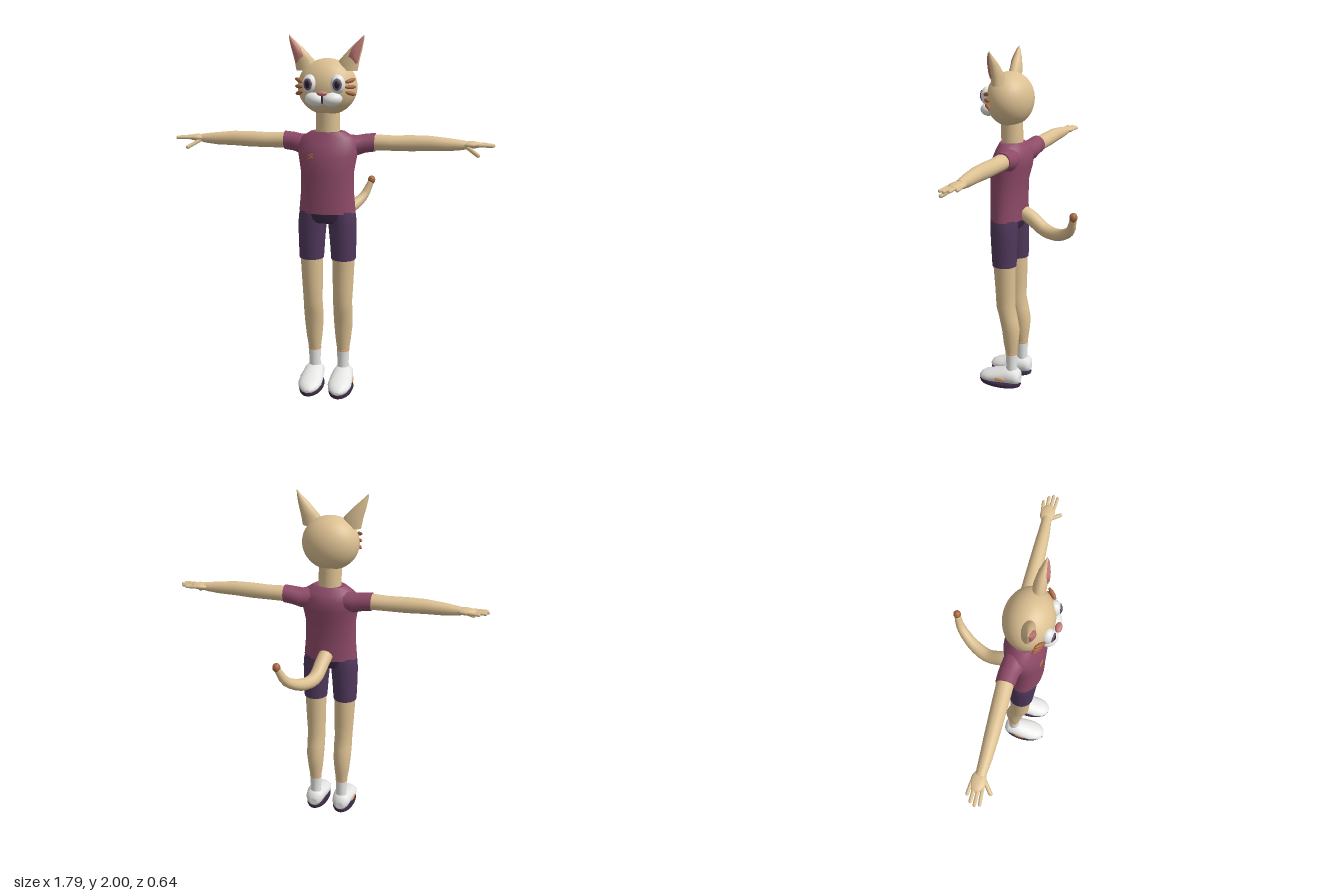
import * as THREE from 'three';

const mat = (name, color) => Object.assign(new THREE.MeshStandardMaterial({ color }), { name });
const M = {
  fur: mat('tan fur', 0xdcc092),
  shirt: mat('plum shirt', 0x8e4a68),
  shorts: mat('purple shorts', 0x50385c),
  dark: mat('dark purple trim', 0x3a2a45),
  white: mat('white', 0xe6e6e4),
  pink: mat('pink skin', 0xc27a76),
  brown: mat('brown markings', 0xa8663f),
  orange: mat('orange trim', 0xe0a670),
  iris: mat('mauve iris', 0x67566c),
  pupil: mat('black pupil', 0x231c26),
};

// Skins elliptical rings [t, cu, cv, ru, rv] along an axis.
// (u, v) is (x, z) for axis y, (z, y) for axis x, (y, x) for axis z.
function loft(axis, rings, n = 24) {
  const pos = [], idx = [];
  const put = (t, u, v) => pos.push(...(axis === 'y' ? [u, t, v] : axis === 'x' ? [t, v, u] : [v, u, t]));
  const ring = ([t, cu, cv, ru, rv]) => {
    const start = pos.length / 3;
    for (let j = 0; j < n; j++) {
      const a = (j / n) * Math.PI * 2;
      put(t, cu + ru * Math.cos(a), cv + rv * Math.sin(a));
    }
    return start;
  };
  const starts = rings.map(ring);
  for (let i = 0; i + 1 < starts.length; i++) {
    for (let j = 0; j < n; j++) {
      const k = (j + 1) % n, a = starts[i], b = starts[i + 1];
      idx.push(a + j, b + j, a + k, a + k, b + j, b + k);
    }
  }
  // separate end caps keep the rims sharp
  [rings[0], rings[rings.length - 1]].forEach((r, end) => {
    const s = ring(r), c = pos.length / 3;
    put(r[0], r[1], r[2]);
    for (let j = 0; j < n; j++) {
      const k = (j + 1) % n;
      idx.push(c, s + (end ? k : j), s + (end ? j : k));
    }
  });
  const g = new THREE.BufferGeometry();
  g.setAttribute('position', new THREE.Float32BufferAttribute(pos, 3));
  g.setIndex(idx);
  g.computeVertexNormals();
  return g;
}

// Ellipsoid with radii r at p, turned by rotation e
function ball(r, p, e = [0, 0, 0], seg = 24) {
  const m = new THREE.Matrix4().compose(new THREE.Vector3(...p),
    new THREE.Quaternion().setFromEuler(new THREE.Euler(...e)), new THREE.Vector3(...r));
  return new THREE.SphereGeometry(1, seg, Math.round(seg * 0.7)).applyMatrix4(m);
}

// Rounded rod from a to b
function rod(a, b, r) {
  const A = new THREE.Vector3(...a), B = new THREE.Vector3(...b), d = B.clone().sub(A);
  const q = new THREE.Quaternion().setFromUnitVectors(new THREE.Vector3(0, 1, 0), d.clone().normalize());
  return new THREE.CapsuleGeometry(r, d.length() - r, 4, 10).applyQuaternion(q)
    .translate(...A.add(B).multiplyScalar(0.5).toArray());
}

function mirrored(geo) {
  const g = geo.clone().applyMatrix4(new THREE.Matrix4().makeScale(-1, 1, 1));
  const ix = g.index;
  for (let i = 0; i < ix.count; i += 3) {
    const b = ix.getX(i + 1);
    ix.setX(i + 1, ix.getX(i + 2));
    ix.setX(i + 2, b);
  }
  return g;
}

export function createModel() {
  const root = new THREE.Group();
  root.name = 'catCharacter';
  const add = (name, geo, m) => {
    const mesh = new THREE.Mesh(geo, m);
    mesh.name = name;
    root.add(mesh);
  };
  const pair = (name, geo, m) => {
    add(name + 'Left', geo, m);
    add(name + 'Right', mirrored(geo), m);
  };

  // Head and neck
  add('head', ball([0.161, 0.15, 0.13], [0, 1.73, 0.14], [0, 0, 0], 36), M.fur);
  add('neck', loft('y', [[1.44, 0, 0.13, 0.068, 0.064], [1.5, 0, 0.13, 0.065, 0.062],
    [1.62, 0, 0.133, 0.064, 0.062]]), M.fur);

  // Ears
  pair('ear', loft('y', [[1.815, 0.112, 0.16, 0.053, 0.034], [1.87, 0.121, 0.16, 0.054, 0.034],
    [1.93, 0.157, 0.164, 0.034, 0.025], [1.975, 0.186, 0.169, 0.014, 0.011],
    [2, 0.2, 0.17, 0.002, 0.002]]), M.fur);
  pair('innerEar', loft('y', [[1.855, 0.16, 0.166, 0.008, 0.02], [1.89, 0.144, 0.17, 0.032, 0.031],
    [1.93, 0.16, 0.173, 0.027, 0.025], [1.975, 0.187, 0.175, 0.011, 0.011],
    [1.992, 0.196, 0.173, 0.003, 0.005]]), M.pink);

  // Face
  pair('eye', ball([0.04, 0.05, 0.036], [0.074, 1.75, 0.245], [0, 0.3, 0]), M.white);
  pair('iris', ball([0.024, 0.031, 0.008], [0.078, 1.75, 0.276], [0, 0.2, 0]), M.iris);
  pair('pupil', ball([0.014, 0.02, 0.006], [0.078, 1.75, 0.281], [0, 0.2, 0]), M.pupil);
  pair('muzzle', ball([0.055, 0.037, 0.045], [0.046, 1.672, 0.252], [0, 0.3, 0.08]), M.white);
  add('nose', ball([0.028, 0.013, 0.018], [0, 1.705, 0.288]), M.pink);
  add('mouth', ball([0.006, 0.025, 0.008], [0, 1.675, 0.283]), M.dark);
  for (let i = 0; i < 3; i++) {
    pair('cheekStripe' + (i + 1), ball([0.034, 0.011, 0.011],
      [0.138, 1.768 - i * 0.033, 0.222 - i * 0.004], [0, 0.75, 0.25 - i * 0.25], 14), M.brown);
  }

  // Shirt
  add('shirtBody', loft('y', [[1.05, 0, 0.15, 0.158, 0.1], [1.15, 0, 0.15, 0.149, 0.099],
    [1.27, 0, 0.148, 0.147, 0.102], [1.36, 0, 0.136, 0.162, 0.114], [1.42, 0, 0.123, 0.166, 0.102],
    [1.46, 0, 0.124, 0.145, 0.085], [1.492, 0, 0.131, 0.094, 0.064]], 32), M.shirt);
  pair('sleeve', loft('x', [[0.08, 0.105, 1.42, 0.06, 0.055], [0.155, 0.095, 1.412, 0.06, 0.056],
    [0.2, 0.086, 1.424, 0.054, 0.052], [0.253, 0.084, 1.43, 0.051, 0.051]]), M.shirt);
  [[0.35, -0.075, 1.372], [0.6, -0.08, 1.355], [-0.7, -0.068, 1.362]].forEach(([tilt, x, y], i) =>
    add('chestStitch' + (i + 1), ball([0.022, 0.005, 0.006], [x, y, 0.235], [0, -0.2, tilt], 10), M.brown));

  // Arms and hands
  pair('arm', loft('x', [[0.22, 0.084, 1.43, 0.046, 0.045], [0.35, 0.084, 1.428, 0.044, 0.042],
    [0.45, 0.084, 1.43, 0.041, 0.044], [0.55, 0.084, 1.432, 0.038, 0.041],
    [0.65, 0.083, 1.428, 0.033, 0.035], [0.72, 0.08, 1.427, 0.028, 0.027],
    [0.745, 0.078, 1.428, 0.028, 0.022]], 20), M.fur);
  pair('palm', ball([0.058, 0.019, 0.04], [0.77, 1.43, 0.076]), M.fur);
  [0.845, 0.878, 0.89, 0.882].forEach((tip, i) => {
    const z = 0.044 + i * 0.02;
    pair('finger' + (i + 1), rod([0.78, 1.431, z], [tip, 1.429, z + (i - 1.5) * 0.004], 0.009), M.fur);
  });
  pair('thumb', rod([0.745, 1.42, 0.095], [0.81, 1.38, 0.148], 0.011), M.fur);

  // Shorts
  add('shortsWaist', loft('y', [[0.995, 0, 0.152, 0.1, 0.075], [1.015, 0, 0.152, 0.132, 0.088],
    [1.06, 0, 0.152, 0.145, 0.094]], 32), M.dark);
  pair('shortsLeg', loft('y', [[0.78, 0.091, 0.147, 0.069, 0.071], [0.88, 0.089, 0.148, 0.074, 0.075],
    [0.98, 0.085, 0.149, 0.079, 0.079], [1.03, 0.08, 0.15, 0.08, 0.08],
    [1.058, 0.077, 0.15, 0.076, 0.08]]), M.shorts);

  // Legs, socks and shoes
  pair('leg', loft('y', [[0.21, 0.084, 0.112, 0.034, 0.033], [0.29, 0.085, 0.113, 0.045, 0.045],
    [0.37, 0.086, 0.113, 0.053, 0.053], [0.45, 0.086, 0.128, 0.055, 0.054],
    [0.52, 0.086, 0.144, 0.054, 0.056], [0.62, 0.088, 0.144, 0.058, 0.059],
    [0.8, 0.091, 0.147, 0.064, 0.066]]), M.fur);
  pair('sock', loft('y', [[0.06, 0.084, 0.112, 0.036, 0.036], [0.14, 0.084, 0.112, 0.033, 0.032],
    [0.212, 0.084, 0.112, 0.036, 0.035]]), M.white);
  pair('sockStripe', loft('y', [[0.212, 0.084, 0.112, 0.037, 0.036],
    [0.22, 0.084, 0.112, 0.037, 0.036]]), M.orange);
  pair('shoe', loft('z', [[0.056, 0.05, 0.086, 0.022, 0.022], [0.064, 0.06, 0.086, 0.042, 0.042],
    [0.085, 0.066, 0.086, 0.051, 0.054], [0.13, 0.067, 0.086, 0.053, 0.06], [0.18, 0.058, 0.086, 0.045, 0.066],
    [0.24, 0.048, 0.086, 0.037, 0.068], [0.285, 0.042, 0.086, 0.03, 0.056],
    [0.31, 0.036, 0.086, 0.021, 0.036], [0.321, 0.032, 0.086, 0.008, 0.014]]), M.white);
  pair('sole', loft('y', [[0, 0.086, 0.188, 0.066, 0.13], [0.01, 0.086, 0.188, 0.07, 0.134],
    [0.022, 0.086, 0.188, 0.067, 0.131]], 32), M.dark);
  pair('shoePatch', ball([0.006, 0.013, 0.034], [0.149, 0.055, 0.165], [0, 0.08, 0], 16), M.orange);

  // Tail, tapering to a round tip
  const path = new THREE.CatmullRomCurve3([[0.005, 1.085, 0.06], [0.012, 1.06, 0.01], [0.03, 1.0, -0.085],
    [0.075, 1.0, -0.18], [0.14, 1.055, -0.27], [0.178, 1.14, -0.3]].map(p => new THREE.Vector3(...p)));
  const steps = 14, sides = 12;
  const tail = new THREE.TubeGeometry(path, steps, 0.042, sides);
  const v = new THREE.Vector3(), p = tail.attributes.position;
  for (let i = 0; i < p.count; i++) {
    const t = Math.floor(i / (sides + 1)) / steps, c = path.getPointAt(t);
    v.fromBufferAttribute(p, i).sub(c).multiplyScalar(1 - 0.58 * t * t).add(c);
    p.setXYZ(i, v.x, v.y, v.z);
  }
  add('tail', tail, M.fur);
  add('tailTip', ball([0.022, 0.026, 0.022], [0.18, 1.146, -0.301]), M.brown);

  return root;
}
